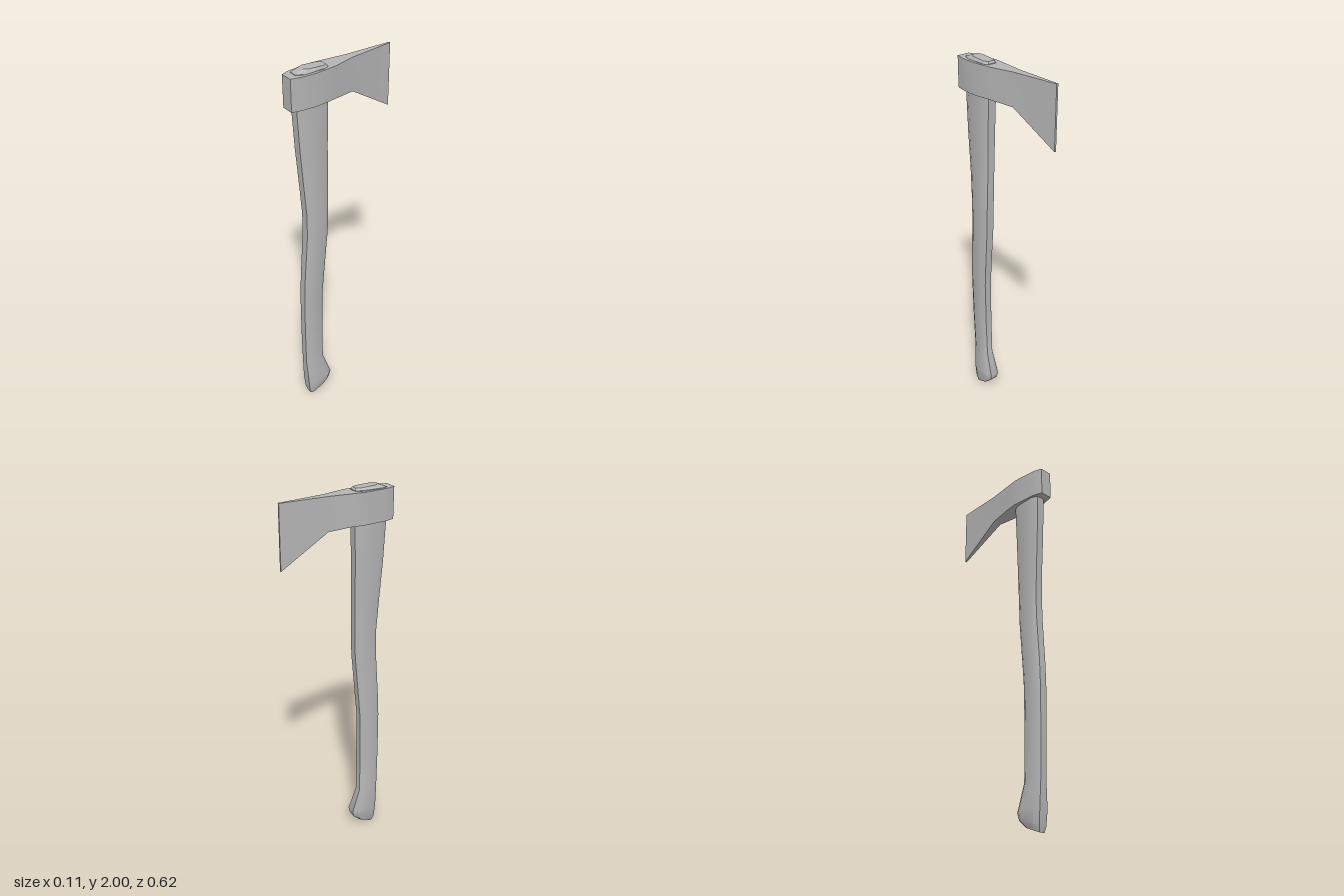
import * as THREE from 'three';
import { toCreasedNormals } from 'three/addons/utils/BufferGeometryUtils.js';

// Skin a list of rings (each the same number of [x, y, z] points, counter-clockwise
// about the direction of travel) and close both ends.
function loft(rings, crease) {
  const n = rings[0].length;
  const index = [];
  for (let r = 0; r < rings.length - 1; r++) {
    for (let i = 0; i < n; i++) {
      const a = r * n + i, b = r * n + (i + 1) % n;
      index.push(a, b, b + n, a, b + n, a + n);
    }
  }
  const last = (rings.length - 1) * n;
  for (let i = 1; i < n - 1; i++) {
    index.push(0, i + 1, i, last, last + i, last + i + 1);
  }
  const geometry = new THREE.BufferGeometry();
  geometry.setAttribute('position', new THREE.Float32BufferAttribute(rings.flat(2), 3));
  geometry.setIndex(index);
  return toCreasedNormals(geometry, crease);
}

export function createModel() {
  const group = new THREE.Group();
  group.name = 'axe';
  const grey = new THREE.MeshStandardMaterial({ color: 0xb4b4b4 });
  grey.name = 'plain grey';

  // Curved handle: y, back z min, front z max, x min, x max, tilt along z
  const sections = [
    [0.022, 0.145, 0.235, -0.024, 0.028, -0.018],
    [0.055, 0.11, 0.243, -0.036, 0.037, -0.02],
    [0.11, 0.10, 0.25, -0.042, 0.042, 0],
    [0.25, 0.145, 0.256, -0.033, 0.028, 0],
    [0.48, 0.147, 0.26, -0.031, 0.033, 0],
    [0.72, 0.145, 0.26, -0.029, 0.038, 0],
    [0.84, 0.135, 0.255, -0.027, 0.041, 0],
    [1.1, 0.112, 0.237, -0.025, 0.046, 0],
    [1.23, 0.108, 0.235, -0.025, 0.047, 0],
    [1.4, 0.105, 0.246, -0.027, 0.042, 0],
    [1.6, 0.102, 0.26, -0.032, 0.042, 0],
    [1.82, 0.096, 0.27, -0.036, 0.041, 0],
    [1.983, 0.094, 0.268, -0.036, 0.04, 0],
    [1.996, 0.102, 0.225, -0.025, 0.032, 0.003],
  ];
  const octagon = [[-0.6, 1], [0.6, 1], [1, 0.6], [1, -0.65],
    [0.6, -1], [-0.6, -1], [-1, -0.65], [-1, 0.6]];
  const handleRings = sections.map(([y, z0, z1, x0, x1, tilt]) => octagon.map(([u, v]) => [
    (x0 + x1) / 2 + u * (x1 - x0) / 2,
    y + tilt * v,
    (z0 + z1) / 2 + v * (z1 - z0) / 2,
  ]));
  const handle = new THREE.Mesh(loft(handleRings, 0.6), grey);
  handle.name = 'handle';
  group.add(handle);

  // Wedge-shaped head, from cutting edge to poll: z, x min, x max, bottom y
  const slices = [
    [-0.31, -0.041, -0.031, 1.655],
    [-0.06, -0.041, 0.006, 1.81],
    [0.06, -0.051, 0.04, 1.82],
    [0.13, -0.057, 0.051, 1.82],
    [0.18, -0.052, 0.056, 1.82],
    [0.25, -0.043, 0.054, 1.82],
    [0.27, -0.039, 0.05, 1.82],
    [0.308, -0.024, 0.043, 1.82],
  ];
  const headRings = slices.map(([z, x0, x1, y]) => [
    [x0, y, z], [x1, y, z], [x1, 1.98, z], [x0, 1.98, z],
  ]);
  const head = new THREE.Mesh(loft(headRings, 0.4), grey);
  head.name = 'axeHead';
  group.add(head);

  return group;
}
